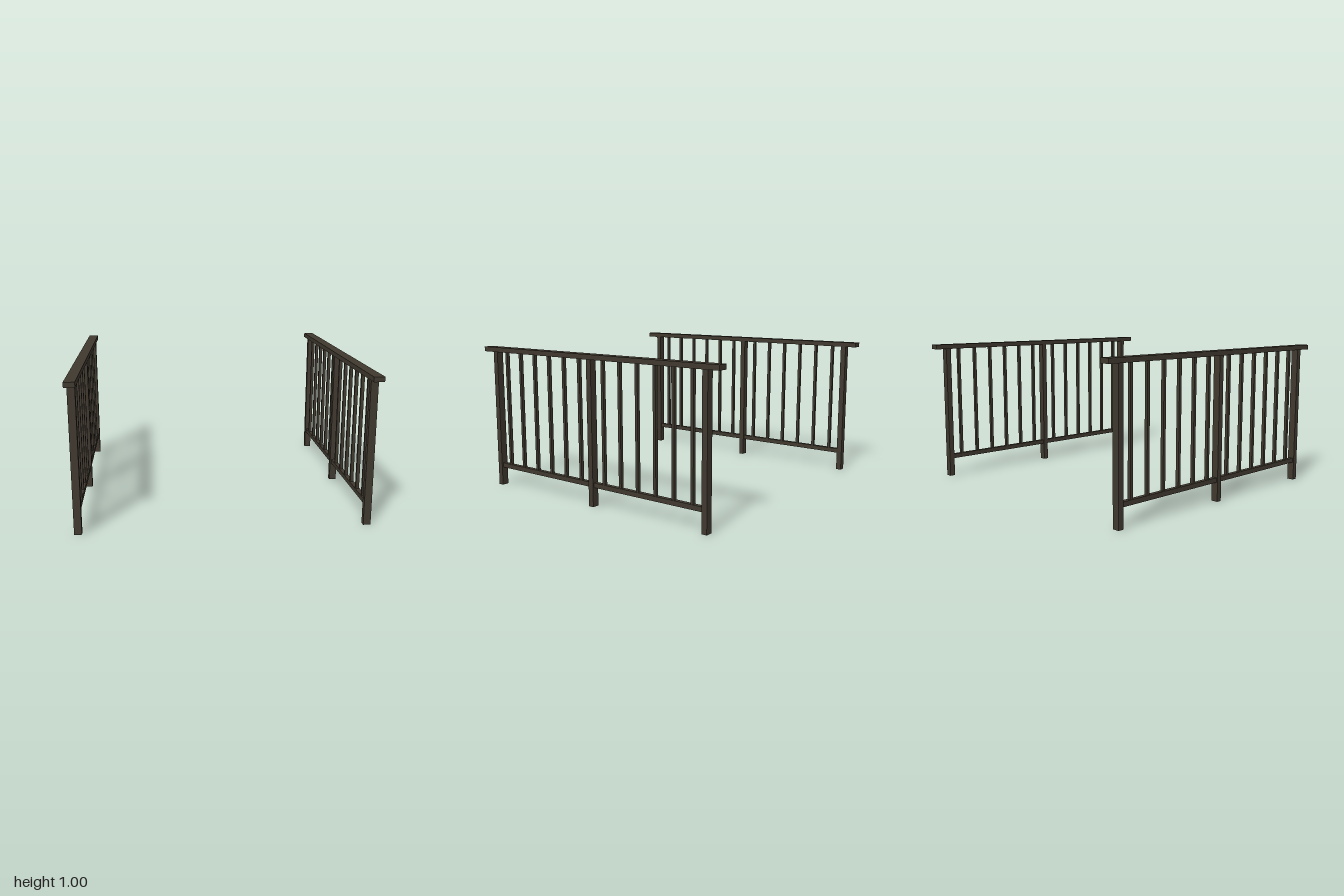
import * as THREE from 'three';

const darkWood = new THREE.MeshStandardMaterial({ color: 0x40392f });
darkWood.name = 'darkWood';

// Box spanning y0..y1, centred on z
function bar(name, width, y0, y1, depth, z = 0) {
  const mesh = new THREE.Mesh(new THREE.BoxGeometry(width, y1 - y0, depth), darkWood);
  mesh.name = name;
  mesh.position.set(0, (y0 + y1) / 2, z);
  return mesh;
}

function createRailing(name) {
  const railing = new THREE.Group();
  railing.name = name;

  // Handrail and lower rail
  railing.add(bar('handrail', 0.07, 0.967, 1, 2));
  railing.add(bar('bottomRail', 0.03, 0.13, 0.162, 1.8));

  // Posts at the ends and middle
  for (const z of [-0.897, 0, 0.897]) railing.add(bar('post', 0.049, 0, 0.967, 0.038, z));

  // Six balusters in each half
  for (const side of [-1, 1]) {
    for (let i = 0; i < 6; i++) {
      railing.add(bar('baluster', 0.022, 0.162, 0.967, 0.02, side * (0.103 + i * 0.1392)));
    }
  }
  return railing;
}

export function createModel() {
  const model = new THREE.Group();
  model.name = 'railingPair';
  // Two parallel railings
  for (const [name, x] of [['leftRailing', 0.933], ['rightRailing', -0.933]]) {
    const railing = createRailing(name);
    railing.position.x = x;
    model.add(railing);
  }
  return model;
}
